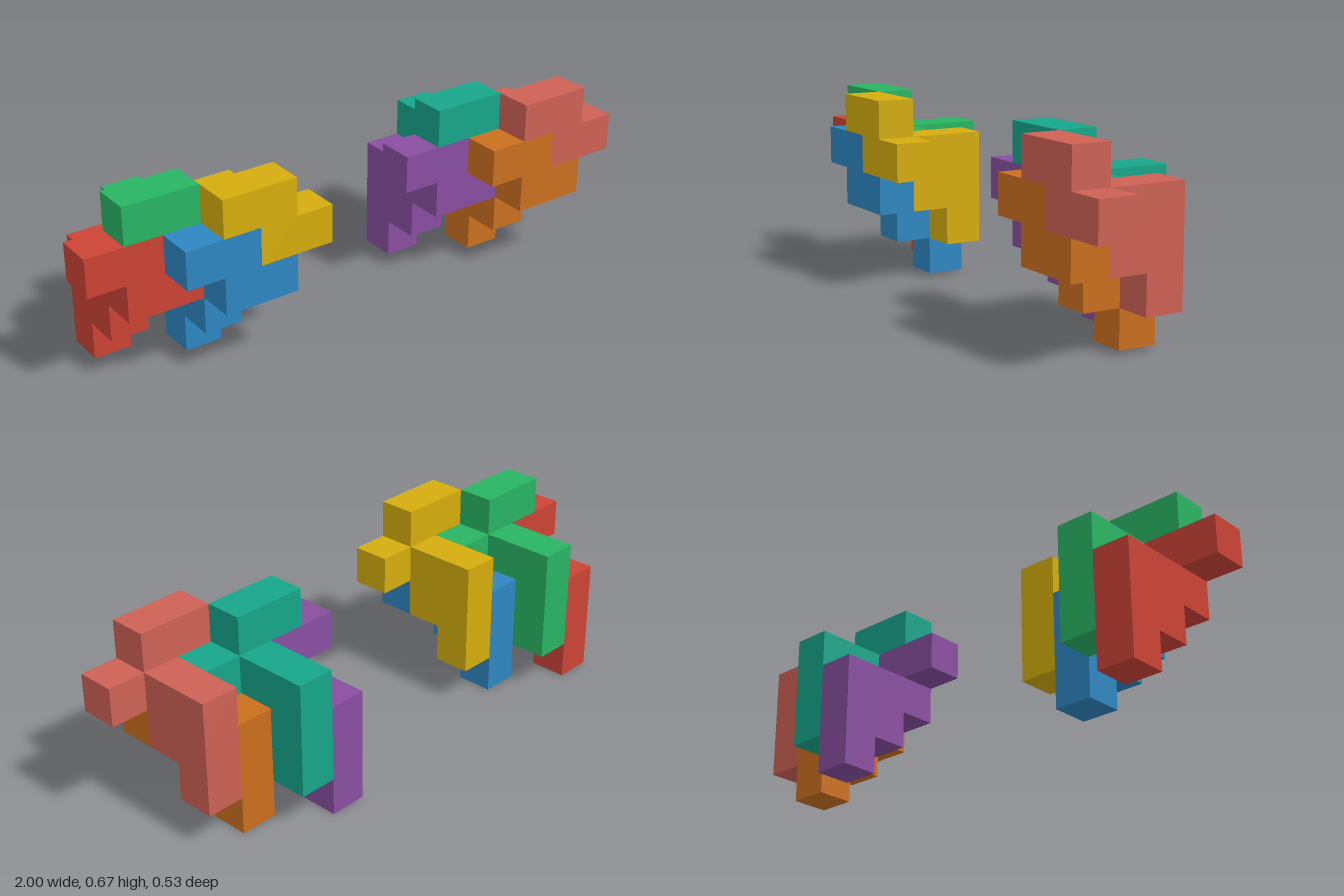
import * as THREE from 'three';
import { mergeGeometries } from 'three/addons/utils/BufferGeometryUtils.js';

const CELL = 2 / 15; // edge of one cube

// Cubes of one puzzle piece (x, y, z)
const CELLS = [
  [1, 0, 0], [1, 1, 0], [1, 2, 0],            // back post
  [1, 1, 1], [1, 2, 1],                       // middle step
  [1, 2, 2], [2, 2, 2], [0, 3, 2], [1, 3, 2], // front S shape
];

// Outer faces only: one square per cube side that has no neighbour
function pieceGeometry() {
  const filled = new Set(CELLS.map(String));
  const forward = new THREE.Vector3(0, 0, 1);
  const faces = [];
  for (const cell of CELLS) {
    for (let axis = 0; axis < 3; axis++) {
      for (const sign of [-1, 1]) {
        const step = [0, 0, 0];
        step[axis] = sign;
        if (filled.has(String(cell.map((c, i) => c + step[i])))) continue;
        const normal = new THREE.Vector3(...step);
        const turn = axis === 2 && sign < 0
          ? new THREE.Quaternion(0, 1, 0, 0)
          : new THREE.Quaternion().setFromUnitVectors(forward, normal);
        const centre = cell.map((c, i) => (c + 0.5 + step[i] / 2) * CELL);
        faces.push(new THREE.PlaneGeometry(CELL, CELL).applyQuaternion(turn).translate(...centre));
      }
    }
  }
  return mergeGeometries(faces);
}

// Position of each interlocking piece within a cluster, in cells
const OFFSETS = [[0, 0, 0], [1, 1, 0], [2, 0, 1], [3, 1, 1]];

const CLUSTERS = [
  { name: 'rightCluster', x: -1, colors: { red: 0xcb4335, green: 0x28b463, blue: 0x2e86c1, yellow: 0xd4ac0d } },
  { name: 'leftCluster', x: 0.2, colors: { purple: 0x884ea0, teal: 0x17a589, orange: 0xca6f1e, coral: 0xcd6155 } },
];

export function createModel() {
  const model = new THREE.Group();
  model.name = 'interlockingPieces';
  const geometry = pieceGeometry();
  for (const { name, x, colors } of CLUSTERS) {
    const cluster = new THREE.Group();
    cluster.name = name;
    cluster.position.set(x, 0, -2 * CELL);
    Object.entries(colors).forEach(([label, color], i) => {
      const piece = new THREE.Mesh(geometry, new THREE.MeshStandardMaterial({ color }));
      piece.name = `${label}Piece`;
      piece.position.set(...OFFSETS[i]).multiplyScalar(CELL);
      cluster.add(piece);
    });
    model.add(cluster);
  }
  return model;
}
